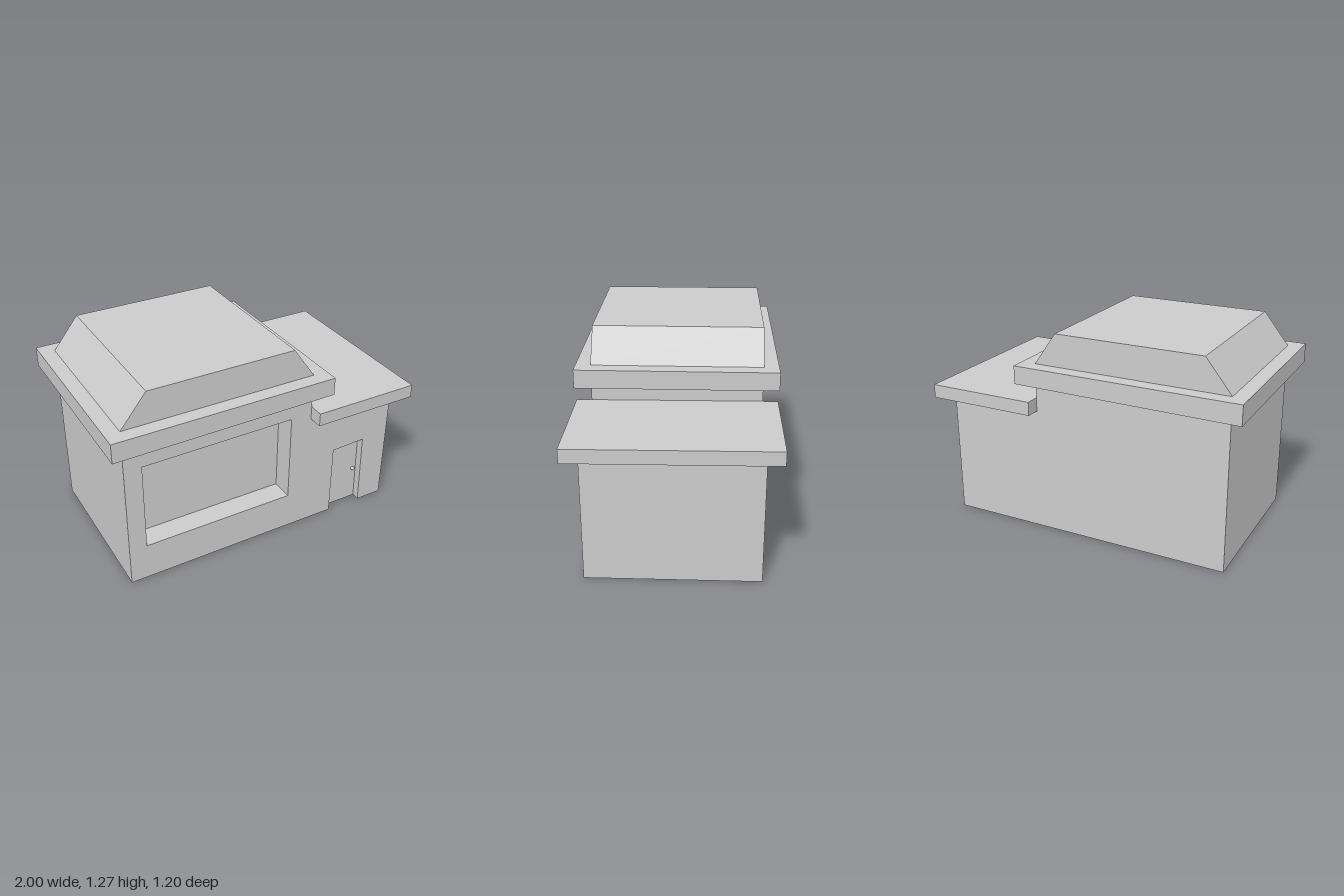
import * as THREE from 'three';

const material = new THREE.MeshStandardMaterial({ color: 0xcccccc, flatShading: true, side: THREE.DoubleSide });

// Skin a series of matching point loops with quads; optionally close the loop and cap the last one.
function skin(loops, { closed = true, cap = false } = {}) {
  const pos = [];
  const quad = (a, b, c, d) => pos.push(...a, ...b, ...c, ...a, ...c, ...d);
  for (let k = 0; k < loops.length - 1; k++) {
    const a = loops[k], b = loops[k + 1], n = a.length;
    for (let i = 0; i < (closed ? n : n - 1); i++) {
      const j = (i + 1) % n;
      quad(a[i], a[j], b[j], b[i]);
    }
  }
  if (cap) quad(...loops[loops.length - 1]);
  const g = new THREE.BufferGeometry();
  g.setAttribute('position', new THREE.Float32BufferAttribute(pos, 3));
  g.computeVertexNormals();
  return g;
}

// Horizontal rectangle, counter-clockwise from above, height given by a function of x and z
const rect = (x0, x1, z, y) =>
  [[x0, z], [x1, z], [x1, -z], [x0, -z]].map(([x, zz]) => [x, y(x, zz), zz]);
// Outline in the xy plane placed at depth z
const atDepth = (pts, z) => pts.map(([x, y]) => [x, y, z]);
const toShape = (pts) => new THREE.Shape(pts.map(([x, y]) => new THREE.Vector2(x, y)));

export function createModel() {
  const group = new THREE.Group();
  const add = (name, geometry) => {
    const mesh = new THREE.Mesh(geometry, material);
    mesh.name = name;
    group.add(mesh);
    return mesh;
  };

  const W = 0.91, D = 0.51, STEP = 0.31, OVER = 0.6;
  const windowPts = [[-0.8, 0.24], [0.17, 0.24], [0.17, 0.81], [-0.8, 0.805]];
  const doorPts = [[0.735, 0], [0.725, 0.485], [0.5, 0.475], [0.5, 0]];
  const upper = [[W, 0.772], [STEP, 0.772], [STEP, 0.964], [-W, 0.956]];

  // Front wall with door notch and window opening
  const front = toShape([[-W, 0], ...[...doorPts].reverse(), [W, 0], ...upper]);
  front.holes.push(toShape(windowPts));
  add('frontWall', new THREE.ShapeGeometry(front).translate(0, 0, D));

  // Back wall, mirrored so that it faces backwards
  const back = toShape([[-W, 0], [W, 0], ...upper].map(([x, y]) => [-x, y]));
  add('backWall', new THREE.ShapeGeometry(back).rotateY(Math.PI).translate(0, 0, -D));

  // Side walls and the short wall above the low roof
  const sides = {
    rightEndWall: [[W, 0], [W, 0.774]],
    stepWall: [[STEP, 0.855], [STEP, 0.964]],
    leftEndWall: [[-W, 0.956], [-W, 0]],
  };
  for (const [name, pts] of Object.entries(sides)) {
    add(name, skin([atDepth(pts, -D), atDepth(pts, D)], { closed: false }));
  }

  // Recessed shop window and door
  add('windowRecess', skin([atDepth(windowPts, D), atDepth(windowPts, D - 0.14)], { cap: true }));
  add('doorRecess', skin([atDepth(doorPts, D), atDepth(doorPts, D - 0.05)], { closed: false, cap: true }));
  add('doorKnob', new THREE.SphereGeometry(0.013, 16, 12)).position.set(0.705, 0.233, D - 0.045);

  // High roof: overhanging eaves, then a hipped cap with vertical front and back
  const eaves = (x) => 0.96 + 0.007 * x;
  add('highRoof', skin([
    rect(-W, STEP, D, eaves),
    rect(-1, 0.4, OVER, eaves),
    rect(-1, 0.4, OVER, () => 1.075),
    rect(-W, STEP, D, () => 1.075),
    rect(-0.75, 0.17, D, () => 1.275),
  ], { cap: true }));

  // Low roof: slightly tilted slab
  const tilt = (y) => (x, z) => y - 0.006 * z;
  add('lowRoof', skin([
    rect(STEP, W, D, tilt(0.774)),
    rect(STEP, 1, OVER, tilt(0.774)),
    rect(STEP, 1, OVER, tilt(0.859)),
  ], { cap: true }));

  return group;
}
